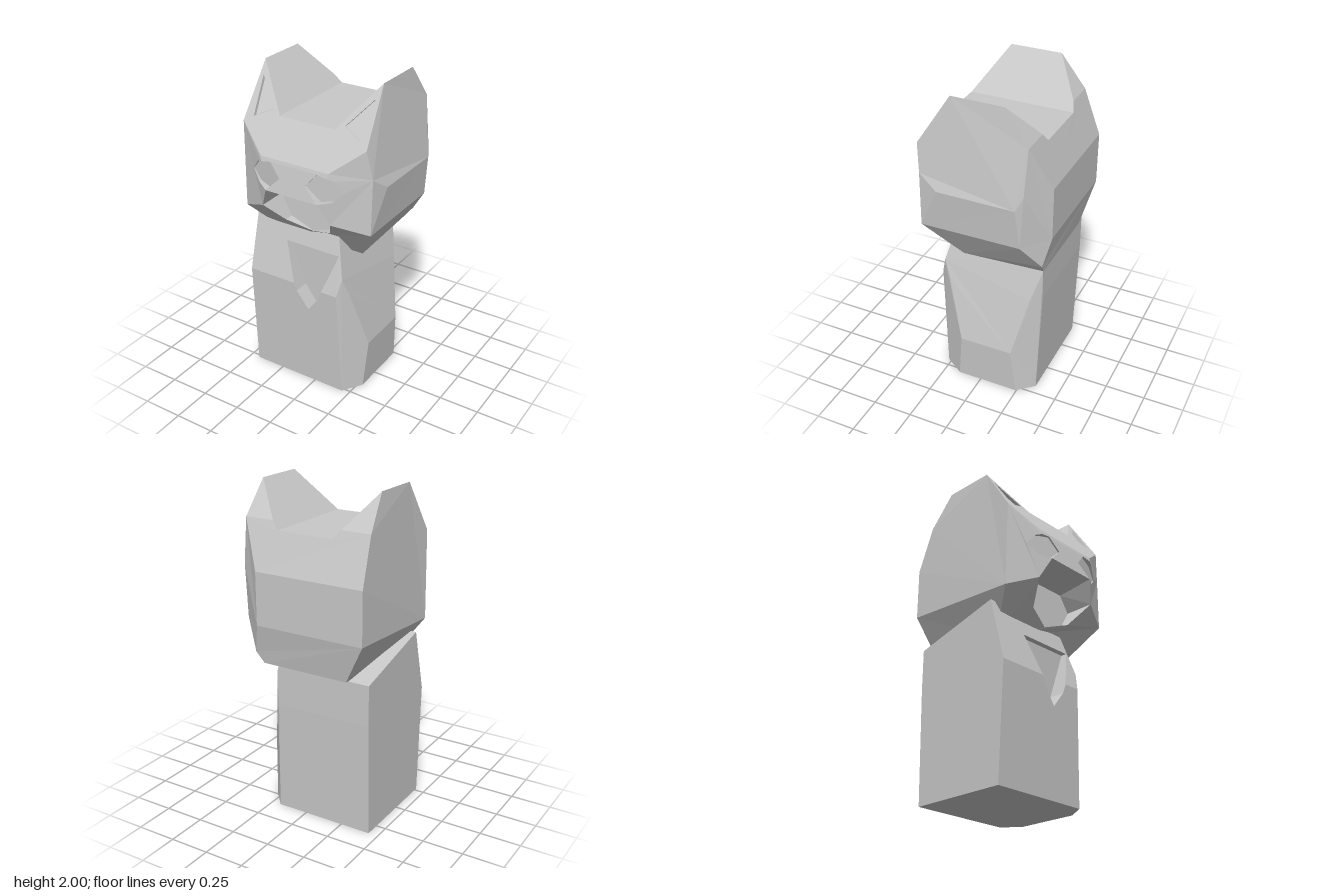
import * as THREE from 'three';

const V = (p) => new THREE.Vector3(...p);
const mean = (pts) => pts.reduce((s, p) => s.add(V(p)), new THREE.Vector3()).divideScalar(pts.length);
// Mirror across the centre plane of the face (x = -0.025)
const mir = (pts) => pts.map(([x, y, z]) => [-0.05 - x, y, z]);
// Left points followed by their mirror images in reverse: one closed outline
const both = (pts) => [...pts, ...mir(pts).reverse()];

// Flat polygon, optionally with holes, turned so that it faces `away`
function facet(out, pts, away, holes = []) {
  const n = new THREE.Vector3();
  pts.forEach((p, i) => n.add(V(p).cross(V(pts[(i + 1) % pts.length]))));
  if (n.length() < 1e-7) return;
  n.normalize();
  if (n.dot(away) < 0) n.negate();
  const u = new THREE.Vector3(Math.abs(n.x) > 0.8 ? 0 : 1, Math.abs(n.x) > 0.8 ? 1 : 0, 0).cross(n).normalize();
  const w = n.clone().cross(u);
  const flat = (ring) => ring.map((p) => new THREE.Vector2(V(p).dot(u), V(p).dot(w)));
  const all = [pts, ...holes].flat();
  for (const [a, b, c] of THREE.ShapeUtils.triangulateShape(flat(pts), holes.map(flat))) {
    const A = V(all[a]), B = V(all[b]), C = V(all[c]);
    const t = B.clone().sub(A).cross(C.clone().sub(A));
    out.push(...(t.dot(n) < 0 ? [A, C, B] : [A, B, C]));
  }
}

// Faces of a solid, all turned away from its centre
function shell(out, faces, centre) {
  for (const pts of faces) facet(out, pts, mean(pts).sub(centre));
}

// Sunken panel: walls between a rim and a floor ring, then the floor
function recess(rim, floor) {
  const out = [], c = mean(rim);
  rim.forEach((p, i) => {
    const j = (i + 1) % rim.length;
    const quad = [p, rim[j], floor[j], floor[i]];
    facet(out, quad, c.clone().sub(mean(quad)).setZ(0));
  });
  facet(out, floor, new THREE.Vector3(0, 0, 1));
  return out;
}

export function createModel() {
  const model = new THREE.Group();
  const stone = new THREE.MeshStandardMaterial({ color: 0xc8c8c8 });
  stone.name = 'paleGrey';
  const add = (name, pts) => {
    const g = new THREE.BufferGeometry().setFromPoints(pts);
    g.computeVertexNormals();
    const m = new THREE.Mesh(g, stone);
    m.name = name;
    model.add(m);
  };

  // Body: block with the two right corners bevelled, and a chest notch
  const low = (x, y) => [x, y, 0.27 + 0.043 * y];
  const high = (x, y) => [x, y, 0.3 - 0.266 * (y - 0.7)];
  const chestTop = [high(-0.123, 0.7), high(-0.21, 0.94), high(0.157, 0.94), high(0.072, 0.7)];
  const chestLow = [low(0.05, 0.64), low(-0.025, 0.54), low(-0.105, 0.65)];
  const sideFront = [[0.28, 0, 0.15], [0.3, 0.31, 0.12], [0.225, 0.7, 0.225], [0.2, 0.81, 0.27]];
  const sideBack = [[0.28, 0, -0.245], [0.3, 0.31, -0.215], [0.225, 0.7, -0.305], [0.177, 0.9, -0.365]];
  const backEdge = [[0.17, 0.7, -0.365], [0.19, 0, -0.345]];
  const topFL = high(-0.44, 1.095), topFR = high(0.13, 1.095);
  const topBR = [0.165, 0.95, -0.365], topBL = [-0.44, 0.95, -0.365];
  const body = [];
  shell(body, [
    [high(-0.44, 0.7), ...chestTop, high(0.177, 0.7), sideFront[3], topFR, topFL],
    [low(-0.44, 0), low(0.2, 0), low(0.177, 0.7), chestTop[3], ...chestLow, chestTop[0], low(-0.44, 0.7)],
    [low(0.2, 0), ...sideFront, low(0.177, 0.7)],
    [sideFront[0], sideFront[1], sideBack[1], sideBack[0]],
    [sideFront[1], sideFront[2], sideFront[3], topFR, topBR, sideBack[3], sideBack[2], sideBack[1]],
    [...sideBack, ...backEdge],
    [backEdge[1], backEdge[0], sideBack[3], topBR, topBL, [-0.44, 0.7, -0.365], [-0.44, 0, -0.345]],
    [low(-0.44, 0), low(-0.44, 0.7), topFL, topBL, [-0.44, 0.7, -0.365], [-0.44, 0, -0.345]],
    [topFL, topFR, topBR, topBL],
    [low(-0.44, 0), low(0.2, 0), sideFront[0], sideBack[0], backEdge[1], [-0.44, 0, -0.345]],
  ], new THREE.Vector3(-0.1, 0.5, 0));
  add('body', body);
  const chest = [...chestTop, ...chestLow];
  add('chestNotch', recess(chest, chest.map(([x, y]) => [x, y, 0.2])));

  // Planes of the face
  const brow = (x, y) => [x, y, 0.115 + 0.65 * (2 - y)];
  const face = (x, y) => [x, y, Math.min(0.41 + 0.2 * (1.55 - y), 0.31 + 0.54 * (x + 0.44))];

  // Left half of the face; the right half is mirrored
  const browEdge = [-0.25, 1.55, 0.408];
  const lip = [-0.195, 1.365, 0.447];
  const mouthCorner = [-0.255, 1.235, 0.4];
  const eyeInner = [face(-0.241, 1.52), face(-0.18, 1.53), face(-0.11, 1.45), lip];
  const eyeOuter = [face(-0.27, 1.38), face(-0.33, 1.44), face(-0.275, 1.51)];
  const eye = [...eyeInner, ...eyeOuter];
  const earHole = [brow(-0.39, 1.922), brow(-0.372, 1.72), brow(-0.26, 1.773)];
  const temple = brow(-0.43, 1.69), tip = brow(-0.41, 2), crown = brow(-0.205, 1.75);
  const tipBack = [-0.41, 2, -0.2], earBack = [-0.43, 1.8, -0.345];
  const earBackIn = [-0.246, 1.8, -0.345], crownBack = [-0.205, 1.75, -0.363];
  const cheek = [browEdge, eyeInner[0], ...[...eyeOuter].reverse(), lip, mouthCorner];
  const inner = [crown, tip, tipBack, earBackIn, crownBack];
  const [mTemple, mTip, mTipBack, mEarBack, mCorner] = mir([temple, tip, tipBack, earBack, mouthCorner]);

  // Jaw, right side and back corners
  const jawL = [-0.44, 1.15, 0.31], jawR = [0.405, 1.18, 0.3];
  const chinL = [-0.31, 0.93, 0.115], chinR = [0.245, 0.93, 0.115];
  const napeL = [-0.31, 0.955, -0.395], napeR = [0.245, 0.955, -0.395];
  const cheekR = [0.41, 1.52, 0.295], bulgeF = [0.435, 1.44, 0.18], bulgeB = [0.435, 1.44, -0.295];
  const sideB = [0.41, 1.52, -0.335], jawB = [0.41, 1.19, -0.315], bevelLow = [0.295, 1.02, -0.405];
  const backL1 = [-0.44, 1.52, -0.445], backL2 = [-0.44, 1.2, -0.445];
  const backR1 = [0.255, 1.52, -0.445], backR2 = [0.255, 1.2, -0.445];
  const mouthLow = [mouthCorner, [-0.18, 1.11, 0.283], [-0.025, 1.055, 0.231], [0.125, 1.107, 0.28], mCorner];

  const head = [];
  facet(head, both([browEdge, temple, tip, crown]), new THREE.Vector3(0, 1, 1), [earHole, mir(earHole)]);
  shell(head, [
    both([browEdge, ...eyeInner]),
    [...cheek, jawL, temple],
    [...mir(cheek), jawR, cheekR, mTemple],
    [jawL, ...mouthLow, jawR, chinR, chinL],
    both([crown, crownBack]),
    inner, mir(inner),
    [tipBack, earBack, earBackIn], mir([tipBack, earBack, earBackIn]),
    [...both([earBack, earBackIn, crownBack]), backR1, backL1],
    [backL1, backR1, backR2, backL2],
    [backL2, backR2, bevelLow, napeR, napeL],
    [mEarBack, sideB, bulgeB, jawB, bevelLow, backR2, backR1],
    [mTemple, mTip, mTipBack, mEarBack, sideB, bulgeB, bulgeF, cheekR],
    [cheekR, bulgeF, bulgeB, jawB, jawR],
    [jawR, jawB, bevelLow, napeR, chinR],
    [chinL, chinR, napeR, napeL],
    [jawL, chinL, napeL, backL2],
    [jawL, temple, tip, tipBack, earBack, backL1, backL2],
  ], new THREE.Vector3(-0.025, 1.2, 0));
  add('head', head);

  // Sunken mouth with a sloping roof
  const mouth = [lip, ...mouthLow, mir([lip])[0]];
  add('mouth', recess(mouth, mouth.map(([x, y]) => {
    const yy = Math.min(y, 1.34);
    return [x, yy, 0.21 + 0.06 * (1.34 - yy)];
  })));

  // Sunken eyes and inner ears
  const eyeFloor = eye.map(([x, y]) => [x, y, 0.365 + 0.25 * (x + 0.33)]);
  const earFloor = earHole.map(([x, y, z]) => [x, y, z - 0.022]);
  add('rightEye', recess(eye, eyeFloor));
  add('leftEye', recess(mir(eye), mir(eyeFloor)));
  add('rightInnerEar', recess(earHole, earFloor));
  add('leftInnerEar', recess(mir(earHole), mir(earFloor)));
  return model;
}
